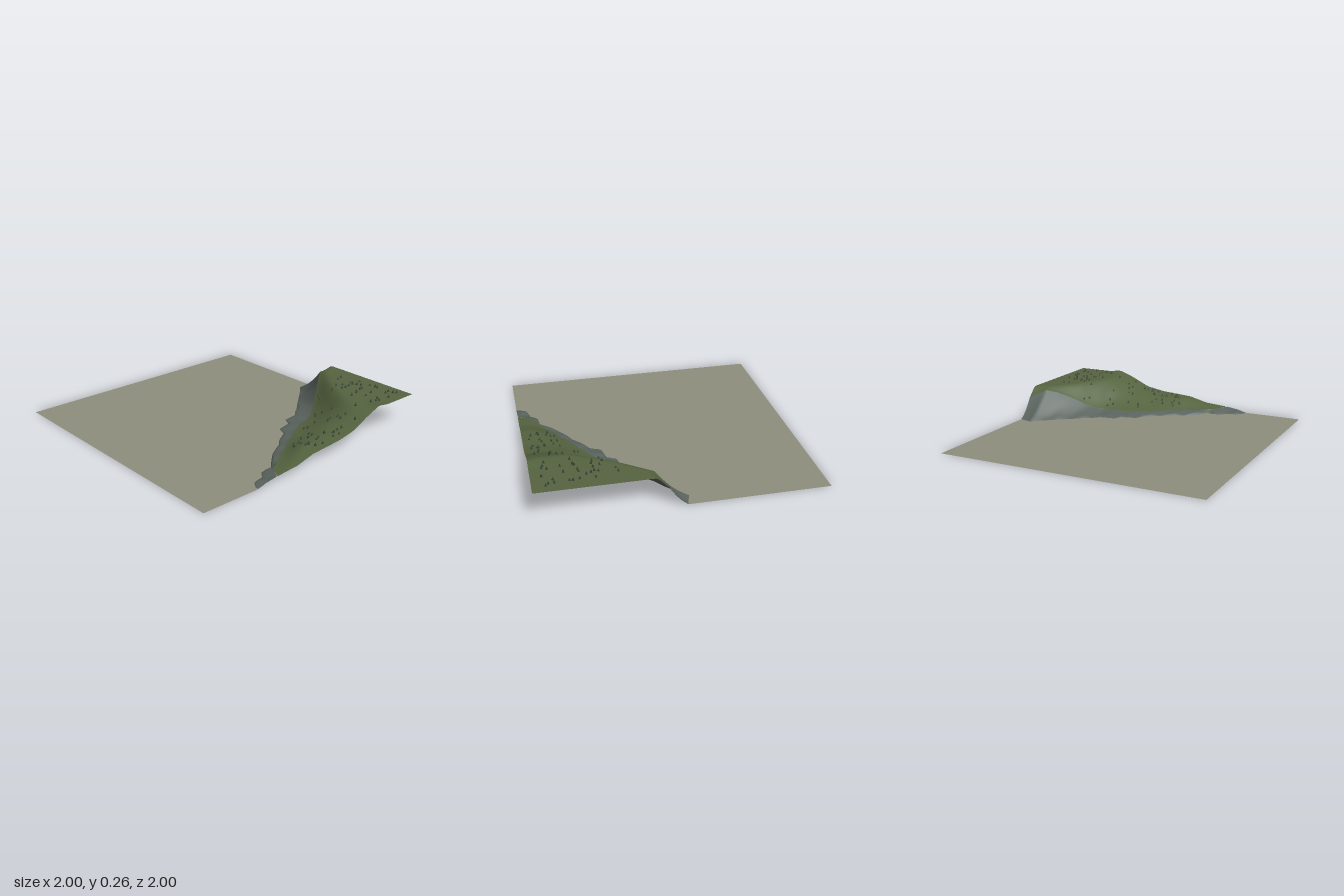
import * as THREE from 'three';
import { mergeGeometries } from 'three/addons/utils/BufferGeometryUtils.js';

// Control points [z, value]
const FOOT = [[-1, 0], [-0.9, -0.03], [-0.84, 0.03], [-0.73, 0.12], [-0.63, 0.2], [-0.54, 0.28], [-0.51, 0.29],
  [-0.46, 0.34], [-0.34, 0.355], [-0.31, 0.42], [-0.19, 0.445], [-0.16, 0.52], [-0.06, 0.575], [0, 0.63],
  [0.06, 0.66], [0.13, 0.7], [0.22, 0.78], [0.28, 0.84], [0.38, 0.85], [0.42, 0.9], [0.51, 0.92], [0.55, 0.98]];
const ROCK_TOP = [[-1, 0.13], [-0.88, 0.2], [-0.7, 0.33], [-0.52, 0.45], [-0.42, 0.5], [-0.32, 0.52], [-0.17, 0.6],
  [0, 0.7], [0.16, 0.8], [0.32, 0.9], [0.36, 0.95], [0.38, 1]];
const ROCK_HEIGHT = [[-1, 0.155], [-0.88, 0.21], [-0.8, 0.185], [-0.7, 0.13], [-0.6, 0.07], [-0.5, 0.035],
  [-0.3, 0.025], [0.2, 0.025], [0.38, 0.034], [0.48, 0.02], [0.55, 0.001]];
const RIGHT_EDGE = [[-1, 0.23], [-0.72, 0.23], [-0.62, 0.245], [-0.5, 0.2], [-0.35, 0.13], [-0.2, 0.103],
  [0.05, 0.085], [0.2, 0.047], [0.38, 0.034]];
const RISE = [[-1, 0.09], [-0.88, 0.06], [-0.7, 0.17], [-0.6, 0.3], [-0.5, 0.42], [-0.2, 0.35], [0, 0.2], [0.38, 0.1]];

function at(table, z) {
  if (z <= table[0][0]) return table[0][1];
  for (let i = 1; i < table.length; i++) {
    const [z0, v0] = table[i - 1], [z1, v1] = table[i];
    if (z <= z1) return v0 + (v1 - v0) * (z - z0) / (z1 - z0);
  }
  return table[table.length - 1][1];
}

// Height of the grassy ground
function grassHeight(x, z) {
  const low = at(ROCK_HEIGHT, z), start = at(ROCK_TOP, z);
  // the small crest on the plateau rim only swells near the right border
  const crest = z < -0.5 ? Math.min(0.23, at(RIGHT_EDGE, z)) : at(RIGHT_EDGE, z);
  const high = crest + (at(RIGHT_EDGE, z) - crest) * THREE.MathUtils.smoothstep(x, 0.88, 1);
  const t = THREE.MathUtils.clamp((x - start) / at(RISE, z), 0, 1);
  const s = Math.sin(t * Math.PI / 2) * 0.5 + t * t * (3 - 2 * t) * 0.5;
  const slope = THREE.MathUtils.smoothstep(z, -0.65, -0.5);
  const bumps = 0.004 * slope * t * (1 - x) * 4 * Math.sin(x * 23 + z * 9) * Math.cos(z * 19);
  return low + (high - low) * s + bumps;
}

// Open sheet built from rows along z and columns along x
function sheet(z0, z1, rows, cols, point) {
  const pos = [], index = [];
  for (let i = 0; i <= rows; i++) {
    const z = z0 + (z1 - z0) * i / rows;
    for (let j = 0; j <= cols; j++) {
      const [x, y] = point(j / cols, z);
      pos.push(x, y, z);
      if (i < rows && j < cols) {
        const a = i * (cols + 1) + j, c = a + cols + 1;
        index.push(a, c, a + 1, a + 1, c, c + 1);
      }
    }
  }
  const g = new THREE.BufferGeometry();
  g.setAttribute('position', new THREE.Float32BufferAttribute(pos, 3));
  g.setIndex(index);
  g.computeVertexNormals();
  return g;
}

function material(name, color) {
  const m = new THREE.MeshStandardMaterial({ color, side: THREE.DoubleSide });
  m.name = name;
  return m;
}

export function createModel() {
  const group = new THREE.Group();
  const add = (name, geometry, mat) => {
    const mesh = new THREE.Mesh(geometry, mat);
    mesh.name = name;
    group.add(mesh);
  };
  const sand = material('sand', 0x8f8f7d);
  const rock = material('rock', 0x5b645f);
  const grass = material('grass', 0x566440);
  const foliage = material('foliage', 0x2e3a2c);

  // Flat ground, cut along the foot of the cliff
  const outline = [[-1, -1], ...FOOT.map(([z, x]) => [x, z]), [1, 0.55], [1, 1], [-1, 1]];
  const flat = new THREE.ShapeGeometry(new THREE.Shape(outline.map(([x, z]) => new THREE.Vector2(x, -z))));
  flat.rotateX(-Math.PI / 2);
  add('flatGround', flat, sand);

  // Cliff with a low irregular skirt of rubble at its foot
  add('rockCliff', sheet(-1, 0.55, 124, 12, (u, z) => {
    const x0 = at(FOOT, z), x1 = at(ROCK_TOP, z), top = at(ROCK_HEIGHT, z);
    const skirt = Math.min(0.02, top) * Math.sin(Math.PI * Math.pow(u, 0.6)) * (0.7 + 0.3 * Math.sin(z * 41));
    return [x0 + (x1 - x0) * u, top * Math.pow(u, 1.6) + skirt * 0.7];
  }), rock);

  // Hillside and plateau
  add('grassHill', sheet(-1, 0.38, 46, 30, (u, z) => {
    const x0 = at(ROCK_TOP, z), x = x0 + (1 - x0) * Math.pow(u, 1.3);
    return [x, grassHeight(x, z)];
  }), grass);

  // Small conifers scattered over three patches: x, z ranges and count
  let seed = 7;
  const random = () => (seed = (seed * 16807) % 2147483647) / 2147483647;
  const trees = [];
  for (const [x0, x1, z0, z1, count] of [
    [0.4, 0.96, -0.95, -0.62, 34], [0.74, 0.96, -0.55, 0.04, 30], [0.5, 0.68, -0.52, -0.25, 9]]) {
    for (let i = 0; i < count; i++) {
      const x = x0 + (x1 - x0) * random(), z = z0 + (z1 - z0) * random();
      if (x < at(ROCK_TOP, z) + 0.02) continue;
      const h = 0.02 + 0.007 * random();
      const cone = new THREE.ConeGeometry(0.009, h, 6);
      cone.translate(x, grassHeight(x, z) + h / 2 - 0.001, z);
      trees.push(cone);
    }
  }
  add('trees', mergeGeometries(trees), foliage);
  return group;
}
